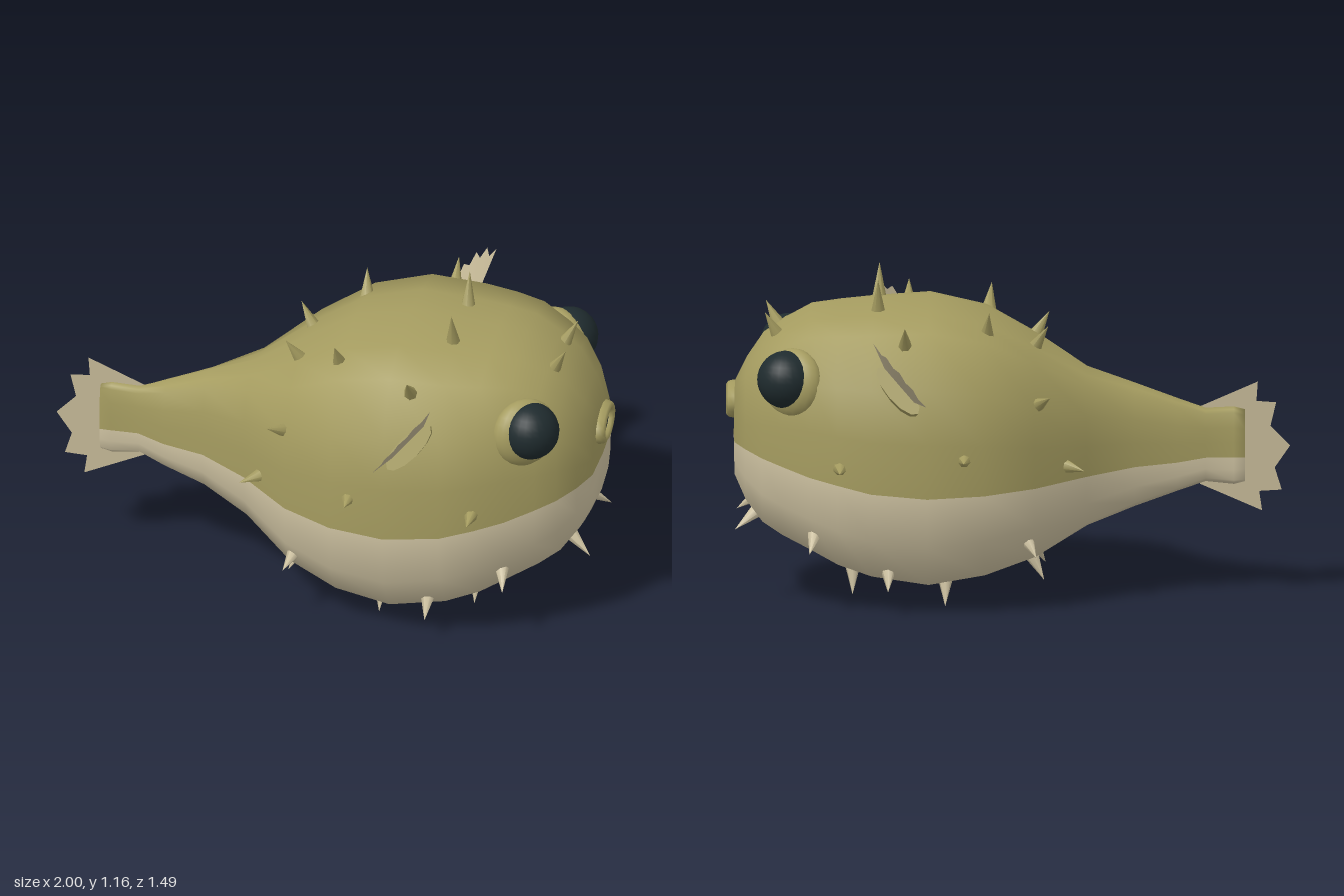
import * as THREE from 'three';

const V = (x, y, z) => new THREE.Vector3(x, y, z);
const mat = (name, color, side = THREE.FrontSide) => {
  const m = new THREE.MeshStandardMaterial({ color, side });
  m.name = name;
  return m;
};

// body stations: x, top, bottom, half width, height of the colour seam
const STATIONS = [
  [-0.84, 0.68, 0.42, 0.025, 0.51], [-0.8, 0.69, 0.41, 0.028, 0.51], [-0.7, 0.685, 0.42, 0.032, 0.51],
  [-0.6, 0.72, 0.385, 0.075, 0.5], [-0.45, 0.775, 0.33, 0.11, 0.49], [-0.28, 0.835, 0.26, 0.22, 0.475],
  [-0.1, 0.95, 0.15, 0.4, 0.465], [0.08, 1.05, 0.085, 0.495, 0.455], [0.28, 1.095, 0.05, 0.535, 0.45],
  [0.48, 1.08, 0.08, 0.52, 0.465], [0.6, 1.068, 0.12, 0.485, 0.49], [0.7, 1.055, 0.175, 0.44, 0.51],
  [0.8, 1.0, 0.225, 0.385, 0.54], [0.87, 0.95, 0.27, 0.335, 0.56], [0.93, 0.86, 0.35, 0.265, 0.58],
  [0.97, 0.78, 0.44, 0.17, 0.588],
];
// half of the boxy round cross-section: width and height factors
const UPPER = [[1, 0], [1, 0.3], [0.965, 0.6], [0.75, 0.89], [0.4, 0.95], [0, 1]];
const LOWER = [[0, -1], [0.4, -0.92], [0.75, -0.83], [0.98, -0.45]];
const flip = (list) => list.map(([w, h]) => [-w, h]).reverse();
const RING = [...UPPER, ...flip(UPPER.slice(0, 5)), ...flip(LOWER.slice(1)), ...LOWER];
const SEAM = 10; // ring segments above the seam

function bodyGeometry() {
  const n = RING.length, pos = [], above = [], below = [];
  for (const [x, top, bottom, half, seam] of STATIONS) {
    for (const [w, h] of RING) pos.push(x, seam + h * (h > 0 ? top - seam : seam - bottom), w * half);
  }
  const last = (STATIONS.length - 1) * n, back = pos.length / 3;
  pos.push(-0.825, 0.51, 0, 0.975, 0.588, 0);
  for (let j = 0; j < n; j++) {
    const k = (j + 1) % n, out = j < SEAM ? above : below;
    for (let i = 0; i < last; i += n) out.push(i + j, i + n + j, i + k, i + k, i + n + j, i + n + k);
    out.push(back, j, k, back + 1, last + k, last + j);
  }
  const g = new THREE.BufferGeometry();
  g.setAttribute('position', new THREE.Float32BufferAttribute(pos, 3));
  g.setIndex([...above, ...below]);
  g.addGroup(0, above.length, 0);
  g.addGroup(above.length, below.length, 1);
  g.computeVertexNormals();
  return g;
}

// jagged fan between a root edge and a bulging outer edge
function fanGeometry(a, b, outerA, outerB, bulge, teeth) {
  const pos = [], idx = [], steps = teeth * 2;
  for (let i = 0; i <= steps; i++) {
    const t = i / steps;
    const root = a.clone().lerp(b, t);
    const tip = outerA.clone().lerp(outerB, t).addScaledVector(bulge, Math.sin(Math.PI * t));
    if (i % 2) tip.lerp(root, 0.2);
    pos.push(...root.toArray(), ...tip.toArray());
    if (i < steps) idx.push(2 * i, 2 * i + 1, 2 * i + 2, 2 * i + 2, 2 * i + 1, 2 * i + 3);
  }
  const g = new THREE.BufferGeometry();
  g.setAttribute('position', new THREE.Float32BufferAttribute(pos, 3));
  g.setIndex(idx);
  g.computeVertexNormals();
  return g;
}

// spine positions on the +z half: x, y, z, length
const BACK_SPINES = [
  [-0.11, 0.95, 0.13, 0.09], [0.46, 1.06, 0.14, 0.12], [0.82, 0.97, 0.1, 0.09], [0.07, 1.02, 0.27, 0.09],
  [0.36, 0.99, 0.42, 0.1], [-0.12, 0.77, 0.38, 0.09], [-0.21, 0.525, 0.28, 0.08], [0.15, 0.585, 0.52, 0.07],
  [0.59, 0.55, 0.48, 0.08],
];
const BELLY_SPINES = [
  [-0.08, 0.255, 0.36, 0.07], [-0.1, 0.15, 0.15, 0.09], [0.22, 0.08, 0.25, 0.09], [0.42, 0.16, 0.41, 0.08],
  [0.55, 0.14, 0.17, 0.09], [0.68, 0.3, 0.37, 0.09], [0.89, 0.34, 0.16, 0.1],
];

export function createModel() {
  const model = new THREE.Group();
  model.name = 'pufferfish';
  const olive = mat('olive skin', 0xa59c60);
  const cream = mat('cream belly', 0xcfc3a2);
  const dark = mat('dark eye', 0x1f2b2e);
  const finMat = mat('fin membrane', 0xc4b896, THREE.DoubleSide);
  const add = (name, geometry, material) => {
    const m = new THREE.Mesh(geometry, material);
    m.name = name;
    model.add(m);
    return m;
  };

  const body = add('body', bodyGeometry(), [olive, cream]);
  body.updateMatrixWorld();

  // mouth
  const lips = add('lips', new THREE.TorusGeometry(0.092, 0.026, 8, 14), olive);
  lips.position.set(0.973, 0.713, 0);
  lips.rotation.y = Math.PI / 2;
  lips.scale.set(1, 0.56, 1.1);
  const mouth = add('mouth', new THREE.CircleGeometry(0.09, 14), dark);
  mouth.position.set(0.982, 0.713, 0);
  mouth.rotation.y = Math.PI / 2;
  mouth.scale.y = 0.52;

  // spines stand on the skin, pointing away from the body core
  const ray = new THREE.Raycaster();
  const spine = (name, [x, y, z, length], material) => {
    const core = V(THREE.MathUtils.clamp(x, 0.12, 0.6), 0.57, 0);
    const dir = V(x, y, z).sub(core).normalize();
    ray.set(core.clone().addScaledVector(dir, 3), dir.clone().negate());
    const hit = ray.intersectObject(body)[0];
    const base = hit ? hit.point : V(x, y, z);
    const s = add(name, new THREE.ConeGeometry(0.03, length + 0.025, 7), material);
    s.position.copy(base).addScaledVector(dir, (length - 0.025) / 2);
    s.quaternion.setFromUnitVectors(V(0, 1, 0), dir);
  };

  for (const s of [1, -1]) {
    const side = s > 0 ? 'right' : 'left';
    for (const [x, y, z, l] of BACK_SPINES) spine(side + 'BackSpine', [x, y, z * s, l], olive);
    for (const [x, y, z, l] of BELLY_SPINES) spine(side + 'BellySpine', [x, y, z * s, l], cream);

    // eye in a flattened socket
    const gaze = V(0.62, 0.12, 0.77 * s).normalize();
    const socket = add(side + 'EyeSocket', new THREE.SphereGeometry(0.125, 24, 14), olive);
    socket.position.set(0.76, 0.835, 0.352 * s);
    socket.quaternion.setFromUnitVectors(V(0, 0, 1), gaze);
    socket.scale.z = 0.55;
    const eye = add(side + 'Eye', new THREE.SphereGeometry(0.103, 24, 16), dark);
    eye.position.set(0.783, 0.85, 0.362 * s);

    // pectoral fin: flattened flared stub and jagged fan
    const u = V(0.65, 0.7, -0.3 * s).normalize();
    const v = V(-0.05, 0.32, 0.95 * s);
    v.addScaledVector(u, -v.dot(u)).normalize();
    const w = u.clone().cross(v);
    const stub = add(side + 'FinStub', new THREE.CylinderGeometry(0.11, 0.085, 0.16, 12), olive);
    stub.quaternion.setFromRotationMatrix(new THREE.Matrix4().makeBasis(u, v, w));
    stub.position.copy(V(0.383, 0.85, 0.572 * s)).addScaledVector(v, -0.08);
    stub.scale.z = 0.36;
    add(side + 'PectoralFin', fanGeometry(V(0.33, 0.81, 0.575 * s), V(0.43, 0.92, 0.535 * s),
      V(0.28, 0.82, 0.73 * s), V(0.47, 1.03, 0.62 * s), V(0, 0.02, 0.06 * s), 4), finMat);
  }

  // tail fin
  const outline = [[-0.68, 0.69], [-0.885, 0.78], [-0.88, 0.71], [-0.95, 0.705], [-0.93, 0.62], [-1, 0.55],
    [-0.945, 0.47], [-0.97, 0.39], [-0.89, 0.385], [-0.9, 0.315], [-0.68, 0.41]];
  add('tailFin', new THREE.ShapeGeometry(new THREE.Shape(outline.map(([x, y]) => new THREE.Vector2(x, y)))), finMat);

  return model;
}
